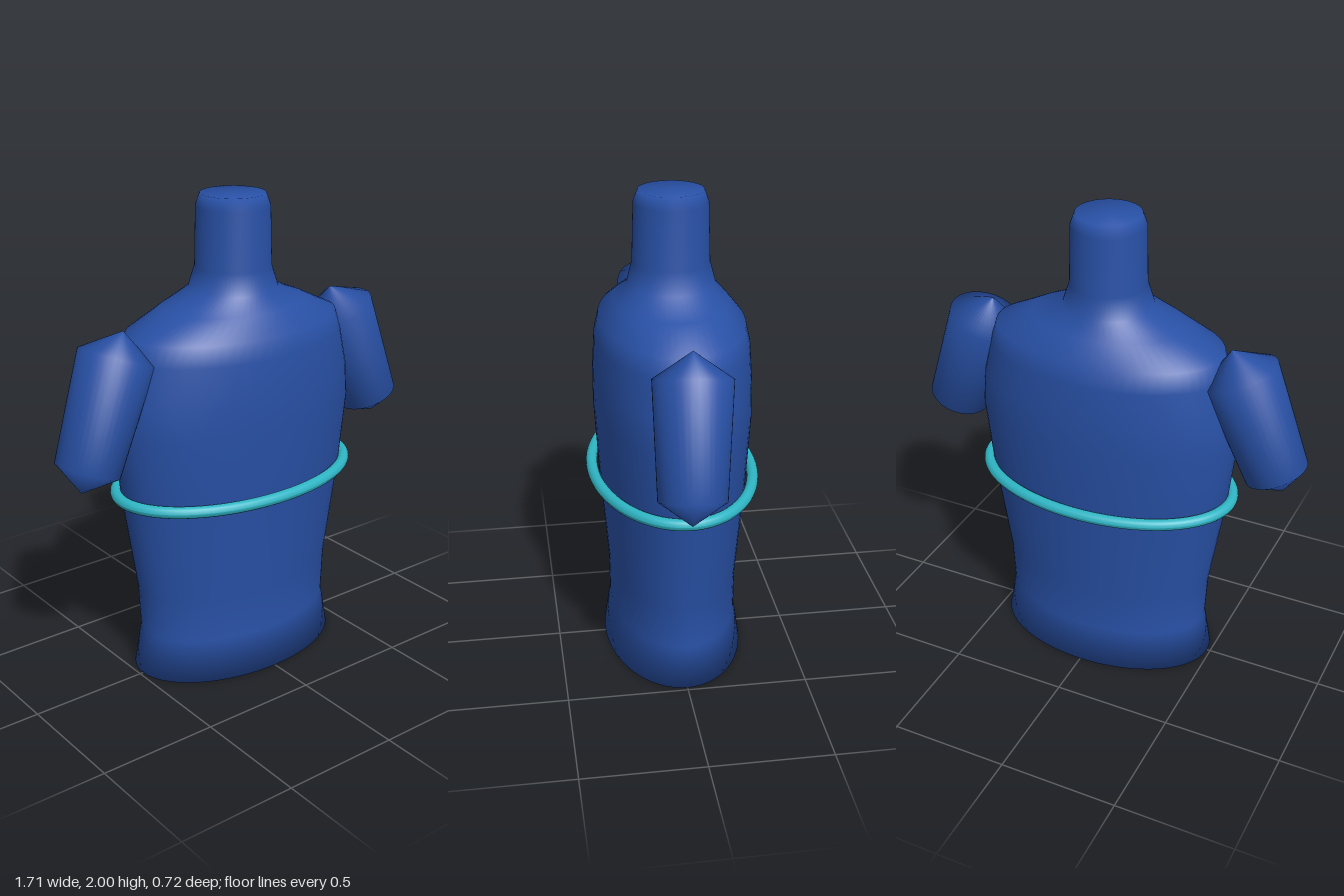
import * as THREE from 'three';

const blue = new THREE.MeshStandardMaterial({ color: 0x2850a5 });
const teal = new THREE.MeshStandardMaterial({ color: 0x2fb5c4 });

// Smooth closed loft through elliptical sections [y, half width, half depth]
function loft(sections, sides) {
  const pos = [], index = [];
  for (const [y, rx, rz] of sections) {
    for (let i = 0; i < sides; i++) {
      const a = (i / sides) * Math.PI * 2;
      pos.push(rx * Math.sin(a), y, rz * Math.cos(a));
    }
  }
  const last = sections.length - 1;
  const bottom = sections.length * sides, top = bottom + 1;
  pos.push(0, sections[0][0], 0, 0, sections[last][0], 0);
  for (let i = 0; i < sides; i++) {
    const j = (i + 1) % sides;
    for (let s = 0; s < last; s++) {
      const a = s * sides + i, b = s * sides + j;
      index.push(a, b, b + sides, a, b + sides, a + sides);
    }
    index.push(bottom, j, i, top, last * sides + i, last * sides + j);
  }
  const geo = new THREE.BufferGeometry();
  geo.setAttribute('position', new THREE.Float32BufferAttribute(pos, 3));
  geo.setIndex(index);
  geo.computeVertexNormals();
  return geo;
}

function addMesh(group, name, geometry, material) {
  const mesh = new THREE.Mesh(geometry, material);
  mesh.name = name;
  group.add(mesh);
  return mesh;
}

export function createModel() {
  const model = new THREE.Group();
  model.name = 'dressForm';

  // Torso running up into the neck
  addMesh(model, 'torso', loft([
    [0, 0.485, 0.295],
    [0.18, 0.455, 0.268],
    [0.37, 0.465, 0.27],
    [0.8, 0.532, 0.304],
    [1.1, 0.565, 0.322],
    [1.24, 0.552, 0.322],
    [1.4, 0.515, 0.313],
    [1.48, 0.49, 0.295],
    [1.56, 0.325, 0.232],
    [1.62, 0.185, 0.18],
    [1.71, 0.155, 0.157],
    [1.95, 0.15, 0.15],
    [2, 0.132, 0.132],
  ], 64), blue);

  // Band around the chest
  const band = new THREE.TorusGeometry(1, 0.024, 16, 96);
  const p = band.attributes.position;
  for (let i = 0; i < p.count; i++) {
    // stretch the centre line to an ellipse, keep the tube round
    const a = Math.atan2(p.getY(i), p.getX(i));
    const offset = Math.hypot(p.getX(i), p.getY(i)) - 1;
    const n = new THREE.Vector2(Math.cos(a) / 0.55, Math.sin(a) / 0.335).normalize();
    p.setXYZ(i, 0.55 * Math.cos(a) + n.x * offset, p.getZ(i), -0.335 * Math.sin(a) - n.y * offset);
  }
  band.computeVertexNormals();
  addMesh(model, 'chestBand', band, teal).position.y = 0.812;

  // Tapered upper arms with pointed ends
  for (const side of [1, -1]) {
    const low = new THREE.Vector3(side * 0.732, 1.01, 0.025);
    const axis = new THREE.Vector3(side * 0.566, 1.433, 0).sub(low);
    const length = axis.length();
    const profile = [[0, -0.093], [0.132, 0], [0.155, length], [0, length + 0.104]]
      .map(([r, y]) => new THREE.Vector2(r, y));
    const arm = addMesh(model, side > 0 ? 'leftArm' : 'rightArm', new THREE.LatheGeometry(profile, 40), blue);
    arm.position.copy(low);
    arm.quaternion.setFromUnitVectors(new THREE.Vector3(0, 1, 0), axis.normalize());
  }

  return model;
}
